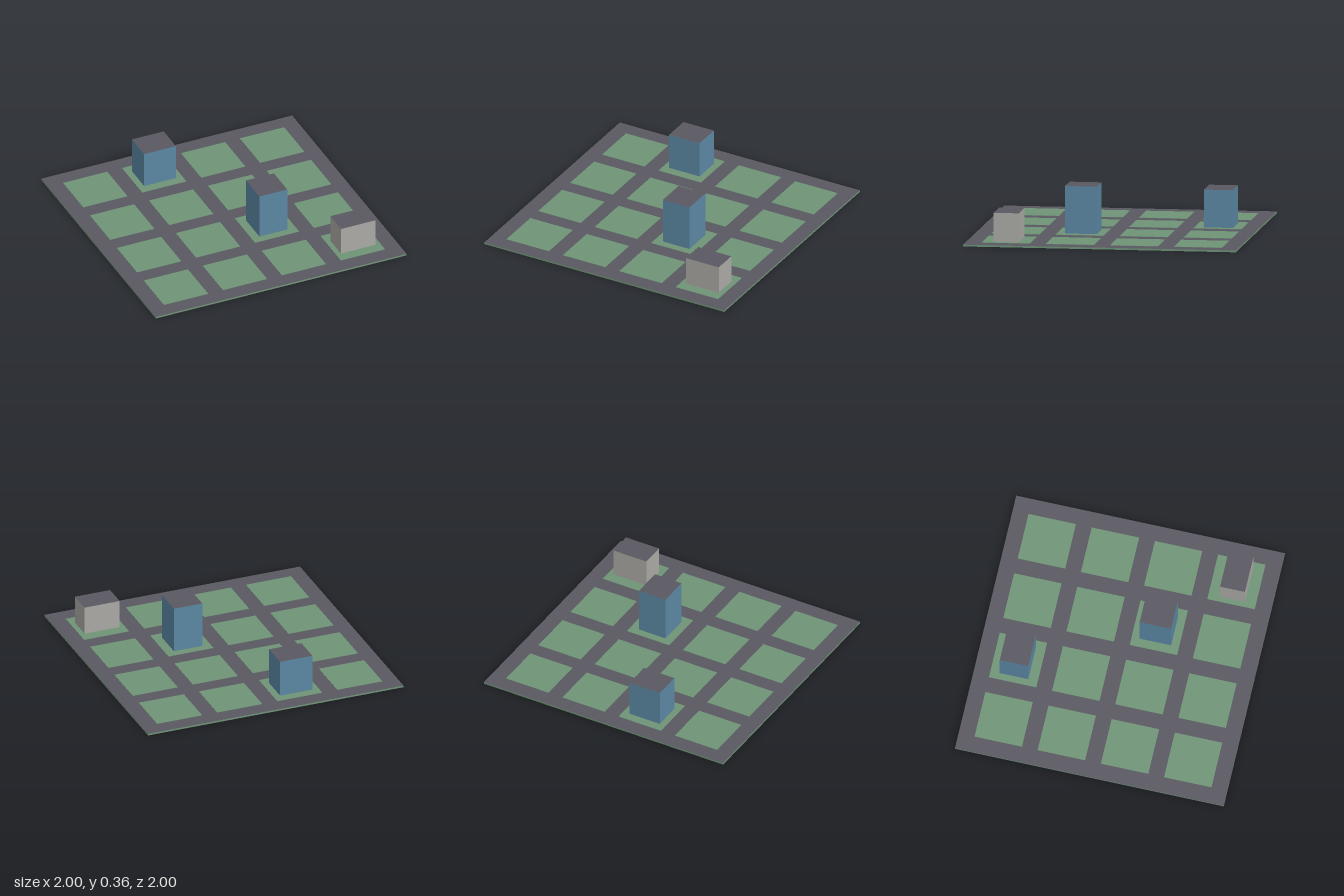
import * as THREE from 'three';

const material = (name, color) => {
  const m = new THREE.MeshStandardMaterial({ color });
  m.name = name;
  return m;
};

export function createModel() {
  const asphalt = material('asphalt grey', 0x5a5962);
  const grass = material('grass green', 0x6f9477);
  const glass = material('facade blue', 0x5b88a4);
  const stone = material('facade stone', 0xabaaa5);
  const city = new THREE.Group();
  city.name = 'cityBlocks';

  // Box spanning the given ranges, with its own material on the top face
  const addBox = (name, [x0, x1], [y0, y1], [z0, z1], side, top = side) => {
    const geometry = new THREE.BoxGeometry(x1 - x0, y1 - y0, z1 - z0);
    const mesh = new THREE.Mesh(geometry, [side, side, top, side, side, side]);
    mesh.name = name;
    mesh.position.set((x0 + x1) / 2, (y0 + y1) / 2, (z0 + z1) / 2);
    city.add(mesh);
  };

  // Ground slab: green sides and underside, paved with roads on top
  const ground = 0.013;
  addBox('groundSlab', [-1, 1], [0, ground], [-1, 1], grass, asphalt);

  // Four by four grid of lawns between the roads
  const pitch = 0.47, half = 0.1765, lawnTop = 0.015;
  for (let row = 0; row < 4; row++) {
    for (let col = 0; col < 4; col++) {
      const x = (col - 1.5) * pitch, z = (row - 1.5) * pitch;
      addBox('lawn', [x - half, x + half], [ground, lawnTop], [z - half, z + half], grass);
    }
  }

  // Buildings with dark flat roofs
  addBox('backTower', [-0.363, -0.11], [ground, 0.292], [-0.812, -0.6], glass, asphalt);
  addBox('middleTower', [0.122, 0.344], [ground, 0.363], [0.118, 0.352], glass, asphalt);
  addBox('frontBuilding', [0.567, 0.842], [ground, 0.228], [0.615, 0.8], stone, asphalt);

  return city;
}
